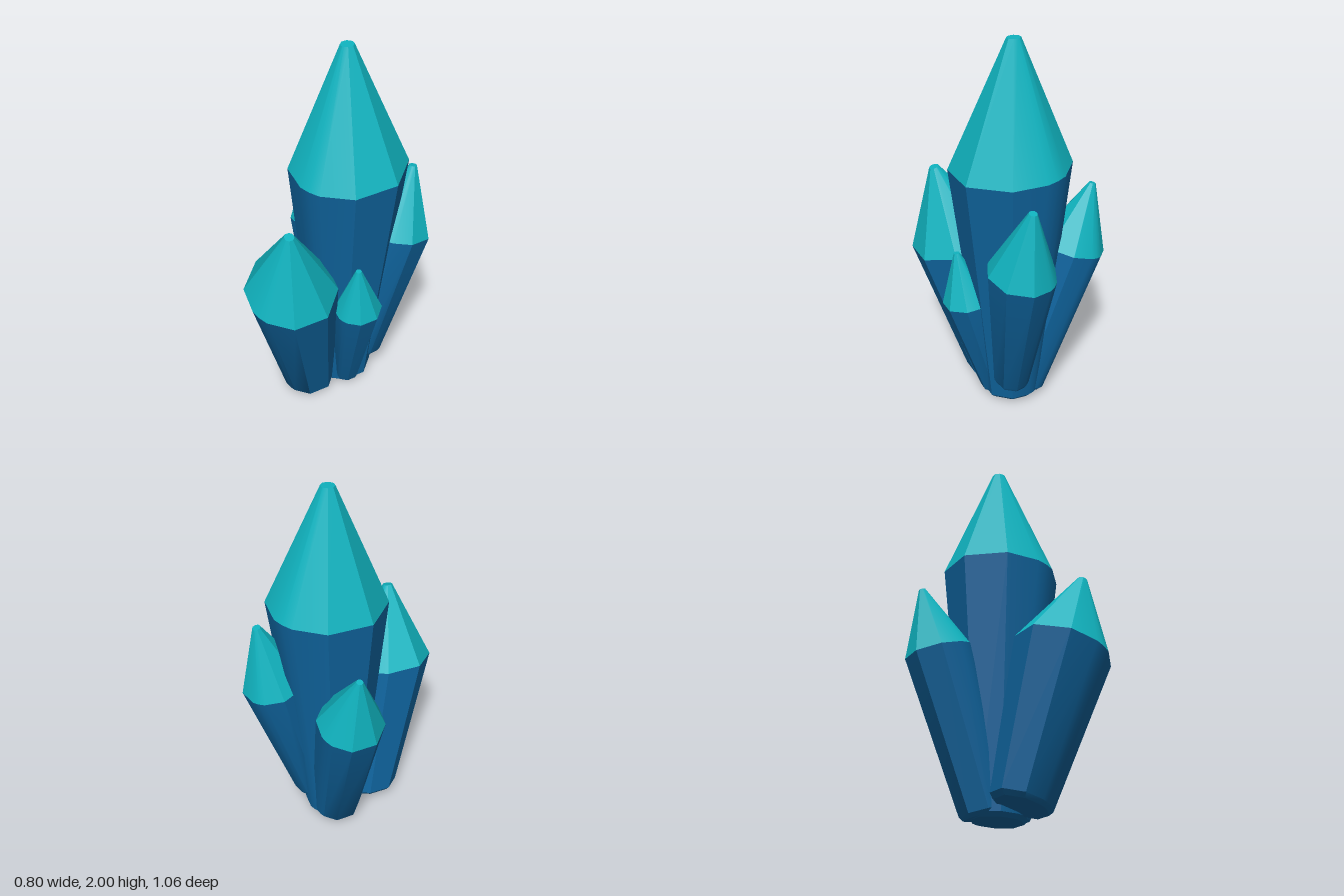
import * as THREE from 'three';
import { toCreasedNormals } from 'three/addons/utils/BufferGeometryUtils.js';

const crystalBlue = new THREE.MeshStandardMaterial({ color: 0x0f639c });
crystalBlue.name = 'deep blue';
const crystalTeal = new THREE.MeshStandardMaterial({ color: 0x10b3bf });
crystalTeal.name = 'teal';

// Corner angles of the eight-sided section; the front and back corners are rounded
const corners = [];
for (let i = 0; i < 8; i++) {
  const a = (i * Math.PI) / 4;
  if (i % 4 === 2) corners.push(a - 0.2, a, a + 0.2);
  else corners.push(a);
}

// Tilted section around a centre; tilt is the rise per unit of x and z
function makeRing(centre, radius, turn, tilt) {
  return corners.map((angle) => {
    const dx = Math.cos(angle + turn) * radius;
    const dz = -Math.sin(angle + turn) * radius;
    return [centre[0] + dx, centre[1] + tilt[0] * dx + tilt[1] * dz, centre[2] + dz];
  });
}

// Skin the rings from bottom to top, closing an end where a centre is given
function loft(rings, bottomCentre, topCentre) {
  const p = [];
  const n = rings[0].length;
  const top = rings[rings.length - 1];
  for (let i = 0; i < n; i++) {
    const k = (i + 1) % n;
    for (let j = 0; j < rings.length - 1; j++) {
      const a = rings[j], b = rings[j + 1];
      p.push(...a[i], ...a[k], ...b[k], ...a[i], ...b[k], ...b[i]);
    }
    if (bottomCentre) p.push(...bottomCentre, ...rings[0][k], ...rings[0][i]);
    if (topCentre) p.push(...topCentre, ...top[i], ...top[k]);
  }
  const g = new THREE.BufferGeometry();
  g.setAttribute('position', new THREE.Float32BufferAttribute(p, 3));
  return toCreasedNormals(g, THREE.MathUtils.degToRad(28));
}

// Radii and centres are given for the base, the shoulder and the tip
function makeCrystal({ name, radii, base, shoulder, tip, tilt, turn = 0 }) {
  const group = new THREE.Group();
  group.name = name;
  const foot = [base[0], base[1] - 0.022, base[2]];
  const shoulderRing = makeRing(shoulder, radii[1], turn, tilt);

  // Shaft with a small chamfer around its foot
  const shaft = new THREE.Mesh(loft([
    makeRing(foot, radii[0] * 0.86, turn, tilt),
    makeRing(base, radii[0], turn, tilt),
    shoulderRing,
  ], foot, null), crystalBlue);
  shaft.name = 'shaft';

  // Pointed cap with a blunt tip
  const cap = new THREE.Mesh(
    loft([shoulderRing, makeRing(tip, radii[2], turn, tilt)], null, tip), crystalTeal);
  cap.name = 'cap';

  group.add(shaft, cap);
  return group;
}

export function createModel() {
  const model = new THREE.Group();
  model.name = 'crystalCluster';
  model.add(
    makeCrystal({
      name: 'mainCrystal', radii: [0.155, 0.305, 0.035], tilt: [-0.02, -0.06],
      base: [0.05, 0.035, -0.13], shoulder: [0.07, 1.355, -0.13], tip: [0.05, 1.995, -0.13],
    }),
    makeCrystal({
      name: 'frontCrystal', radii: [0.15, 0.24, 0.025], tilt: [-0.25, -0.15],
      base: [-0.03, 0.06, 0.08], shoulder: [0.04, 0.8, 0.285], tip: [0.11, 1.2, 0.37],
    }),
    makeCrystal({
      name: 'rightCrystal', radii: [0.13, 0.173, 0.017], tilt: [0.25, 0.1],
      base: [0, 0.06, -0.16], shoulder: [-0.23, 0.85, -0.285], tip: [-0.33, 1.185, -0.33],
    }),
    makeCrystal({
      name: 'backCrystal', radii: [0.095, 0.173, 0.021], tilt: [-0.05, 0.2], turn: 0.3,
      base: [0.14, 0.16, -0.21], shoulder: [0.23, 0.91, -0.358], tip: [0.25, 1.275, -0.44],
    }),
    makeCrystal({
      name: 'smallCrystal', radii: [0.072, 0.127, 0.015], tilt: [-0.1, -0.1],
      base: [0.13, 0.055, -0.07], shoulder: [0.25, 0.61, 0], tip: [0.28, 0.885, 0.04],
    }),
  );
  return model;
}
